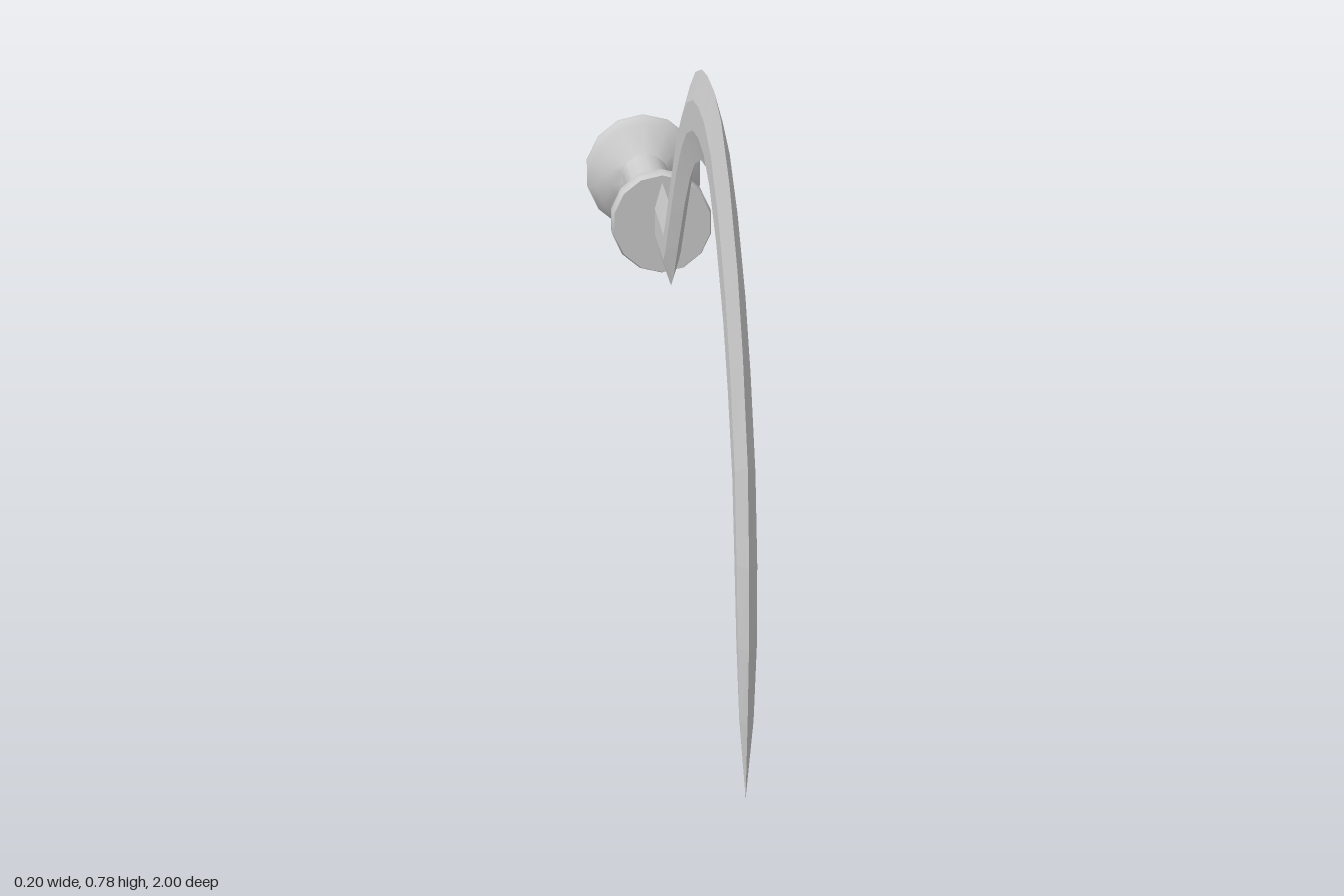
import * as THREE from 'three';
import { toCreasedNormals } from 'three/addons/utils/BufferGeometryUtils.js';

// Blade stations: outer z, outer y, inner z, inner y, half thickness
const STATIONS = [
  [-0.50, 0.485, -0.50, 0.357, 0.012],
  [-0.36, 0.482, -0.33, 0.357, 0.012],
  [-0.285, 0.475, -0.28, 0.358, 0.012],
  [-0.24, 0.505, -0.235, 0.378, 0.012],
  [-0.15, 0.572, -0.12, 0.455, 0.012],
  [0.00, 0.675, 0.00, 0.535, 0.012],
  [0.10, 0.722, 0.10, 0.59, 0.012],
  [0.20, 0.756, 0.19, 0.627, 0.012],
  [0.31, 0.774, 0.30, 0.65, 0.012],
  [0.40, 0.778, 0.40, 0.655, 0.012],
  [0.50, 0.773, 0.48, 0.647, 0.012],
  [0.61, 0.75, 0.565, 0.62, 0.012],
  [0.73, 0.69, 0.66, 0.57, 0.012],
  [0.84, 0.605, 0.755, 0.50, 0.012],
  [0.91, 0.52, 0.82, 0.435, 0.012],
  [0.975, 0.405, 0.88, 0.36, 0.012],
  [0.998, 0.29, 0.915, 0.28, 0.012],
  [0.999, 0.19, 0.94, 0.19, 0.011],
  [0.987, 0.10, 0.956, 0.10, 0.008],
  [0.967, 0.00, 0.967, 0.00, 0],
];

// Loft of flattened hexagons: two sharp edges and a flat on each cheek
function bladeGeometry() {
  const ring = [[0, 0], [1 / 3, 1], [2 / 3, 1], [1, 0], [2 / 3, -1], [1 / 3, -1]];
  const n = ring.length, pos = [], idx = [];
  for (const [oz, oy, iz, iy, w] of STATIONS) {
    for (const [t, s] of ring) pos.push(s * w, oy + (iy - oy) * t, oz + (iz - oz) * t);
  }
  for (let i = 0; i < STATIONS.length - 1; i++) {
    for (let j = 0; j < n; j++) {
      const a = i * n + j, b = i * n + (j + 1) % n;
      idx.push(a, a + n, b, b, a + n, b + n);
    }
  }
  // Butt end, seated inside the collar
  for (let j = 1; j < n - 1; j++) idx.push(0, j, j + 1);
  const g = new THREE.BufferGeometry();
  g.setAttribute('position', new THREE.Float32BufferAttribute(pos, 3));
  g.setIndex(idx);
  g.computeVertexNormals();
  return g;
}

// Turned part along z, from [radius, z] pairs
function turned(name, profile, material) {
  const g = new THREE.LatheGeometry(profile.map(([r, z]) => new THREE.Vector2(r, z)), 14);
  g.rotateX(Math.PI / 2);
  const mesh = new THREE.Mesh(toCreasedNormals(g, 0.9), material);
  mesh.name = name;
  mesh.position.y = 0.417;
  return mesh;
}

export function createModel() {
  const group = new THREE.Group();
  group.name = 'sickle';
  const smooth = new THREE.MeshStandardMaterial({ color: 0xcccccc });
  const faceted = new THREE.MeshStandardMaterial({ color: 0xcccccc, flatShading: true });

  const blade = new THREE.Mesh(bladeGeometry(), faceted);
  blade.name = 'blade';
  group.add(blade);

  // Flared pommel, slim grip and rounded collar
  group.add(
    turned('pommel', [[0, -1], [0.099, -1], [0.102, -0.992], [0.102, -0.972],
      [0.09, -0.96], [0.06, -0.935], [0.043, -0.918]], smooth),
    turned('grip', [[0.043, -0.918], [0.04, -0.9], [0.036, -0.6], [0.04, -0.58]], smooth),
    turned('collar', [[0.04, -0.58], [0.052, -0.563], [0.075, -0.542], [0.082, -0.53],
      [0.082, -0.495], [0.079, -0.483], [0, -0.483]], smooth),
  );
  return group;
}
